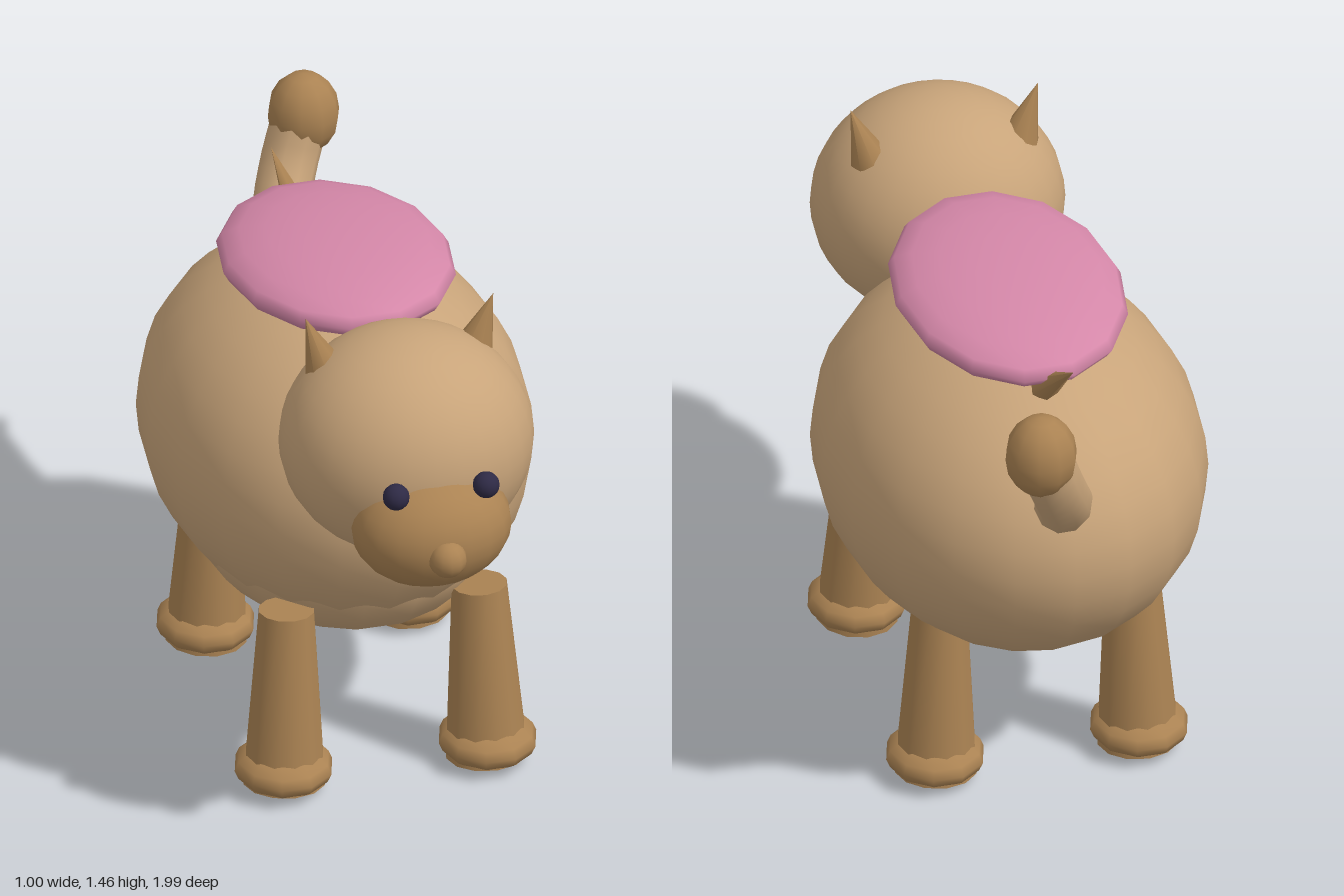
import * as THREE from 'three';

const material = (name, color) => {
  const m = new THREE.MeshStandardMaterial({ color });
  m.name = name;
  return m;
};

export function createModel() {
  const model = new THREE.Group();
  model.name = 'animal';
  const fur = material('light fur', 0xc8a47a);
  const darkFur = material('dark fur', 0xab8353);
  const pink = material('pink saddle', 0xd487a8);
  const eyeColor = material('eye', 0x2e2a45);

  const add = (name, geometry, mat) => {
    const mesh = new THREE.Mesh(geometry, mat);
    mesh.name = name;
    model.add(mesh);
    return mesh;
  };

  // Smooth ellipsoid with the given centre and radii
  const ellipsoid = (name, mat, center, radii, ws = 20, hs = 16) => {
    const mesh = add(name, new THREE.SphereGeometry(1, ws, hs), mat);
    mesh.position.set(...center);
    mesh.scale.set(...radii);
    return mesh;
  };

  // Tapered cylinder running between two points
  const taper = (name, mat, from, to, r0, r1, sides) => {
    const a = new THREE.Vector3(...from);
    const b = new THREE.Vector3(...to);
    const dir = b.clone().sub(a);
    const mesh = add(name, new THREE.CylinderGeometry(r1, r0, dir.length(), sides), mat);
    mesh.position.copy(a).add(b).multiplyScalar(0.5);
    mesh.quaternion.setFromUnitVectors(new THREE.Vector3(0, 1, 0), dir.normalize());
    return mesh;
  };

  // Trunk
  ellipsoid('body', fur, [0, 0.78, -0.15], [0.5, 0.46, 0.66], 20, 18);
  ellipsoid('belly', fur, [0, 0.6, -0.1], [0.41, 0.305, 0.515], 18, 14);

  // Saddle pad, tipped slightly up at the front, with a spike behind it
  const saddle = ellipsoid('saddle', pink, [0, 1.262, -0.14], [0.3, 0.084, 0.42], 14, 10);
  saddle.rotation.x = -0.06;
  taper('saddleSpike', darkFur, [0, 1.18, -0.49], [-0.035, 1.31, -0.645], 0.04, 0, 6);

  // Head
  ellipsoid('head', fur, [0, 1.117, 0.545], [0.33, 0.302, 0.315], 28, 20);
  ellipsoid('muzzle', darkFur, [0, 0.995, 0.79], [0.21, 0.16, 0.17], 20, 14);
  ellipsoid('nose', darkFur, [0, 0.98, 0.95], [0.05, 0.05, 0.05], 12, 10);

  // Eyes, ears and legs on both sides
  for (const s of [1, -1]) {
    ellipsoid('eye', eyeColor, [s * 0.12, 1.147, 0.887], [0.035, 0.035, 0.035], 12, 10);
    taper('ear', darkFur, [s * 0.2, 1.315, 0.475], [s * 0.25, 1.468, 0.48], 0.052, 0, 8);
    for (const [name, top, bottom] of [['front', 0.317, 0.343], ['back', -0.41, -0.42]]) {
      taper(name + 'Leg', darkFur, [s * 0.27, 0.02, bottom], [s * 0.257, 0.512, top], 0.108, 0.073, 12);
      ellipsoid(name + 'Foot', darkFur, [s * 0.272, 0.066, bottom], [0.13, 0.062, 0.14], 10, 8);
    }
  }

  // Curved tail with a tuft at the tip
  const tailCurve = new THREE.CatmullRomCurve3([
    new THREE.Vector3(0.01, 0.93, -0.68),
    new THREE.Vector3(0.03, 1.02, -0.79),
    new THREE.Vector3(0.075, 1.13, -0.87),
    new THREE.Vector3(0.12, 1.25, -0.905),
  ]);
  add('tail', new THREE.TubeGeometry(tailCurve, 10, 0.075, 10), fur);
  ellipsoid('tailTuft', darkFur, [0.122, 1.245, -0.905], [0.095, 0.115, 0.092], 10, 8);

  return model;
}
